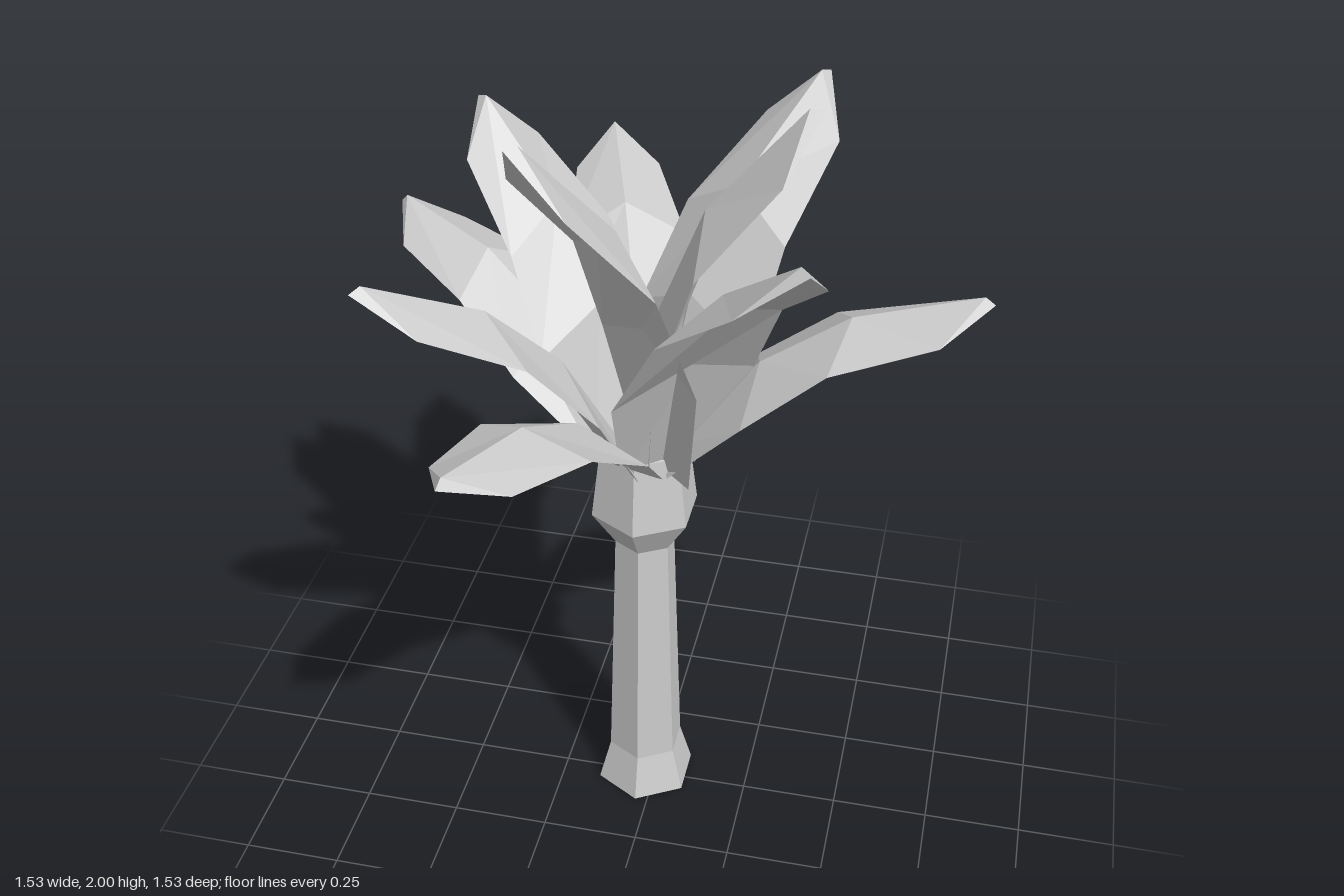
import * as THREE from 'three';

const CX = -0.032, CZ = -0.022; // trunk axis
const material = new THREE.MeshStandardMaterial({
  color: 0xcccccc, flatShading: true, side: THREE.DoubleSide,
});

// Leaf cross-sections along +x:
// [ridge x, ridge height, thickness, half width, edge x, edge height]
const LEAF_LENGTH = 0.92;
const SECTIONS = [
  [0.0, 0.035, 0.04, 0.098, 0.0, 0.0],
  [0.35, 0.128, 0.04, 0.179, 0.28, 0.07],
  [0.61, 0.122, 0.04, 0.154, 0.53, 0.083],
  [0.905, 0.015, 0.03, 0.111, 0.78, 0.0],
];

// Folded leaf: every ring is top ridge, right edge, under ridge, left edge
function leafGeometry() {
  const positions = [], index = [];
  for (const [x, y, thick, half, edgeX, edgeY] of SECTIONS) {
    positions.push(x, y, 0, edgeX, edgeY, half, x + thick * 0.3, y - thick, 0, edgeX, edgeY, -half);
  }
  for (let row = 0; row < SECTIONS.length - 1; row++) {
    for (let i = 0; i < 4; i++) {
      const a = row * 4 + i, b = row * 4 + (i + 1) % 4;
      index.push(a, b, b + 4, a, b + 4, a + 4);
    }
  }
  const e = (SECTIONS.length - 1) * 4;
  index.push(e, e + 1, e + 2, e, e + 2, e + 3); // tip
  index.push(0, 2, 1, 0, 3, 2); // base
  const geometry = new THREE.BufferGeometry();
  geometry.setAttribute('position', new THREE.Float32BufferAttribute(positions, 3));
  geometry.setIndex(index);
  geometry.computeVertexNormals();
  return geometry;
}

// Hexagonal trunk, open below, with a flared foot and a bulb under the crown
function makeTrunk() {
  const profile = [
    [0.133, 0], [0.1, 0.12], [0.078, 0.81],
    [0.138, 0.905], [0.113, 1.1], [0, 1.12],
  ].map(([r, y]) => new THREE.Vector2(r, y));
  const trunk = new THREE.Mesh(new THREE.LatheGeometry(profile, 6), material);
  trunk.name = 'trunk';
  trunk.position.set(CX, 0, CZ);
  return trunk;
}

// Leaf tip x, y, z, then the x, z of its foot where it is not on the rim
const LEAVES = [
  [0.76, 1.572, -0.06], [-0.28, 1.595, -0.762], [-0.28, 1.48, 0.762], [-0.765, 1.48, -0.44], // low
  [0.4, 1.87, 0.435], [-0.553, 1.715, 0.44], [-0.505, 1.828, -0.345], [0.308, 1.905, -0.495], // middle
  [0.35, 2.008, -0.03, 0.0, -0.035], [-0.24, 2.008, 0.298, 0.025, 0.025], // upright
];
const FOOT_RADIUS = 0.07, FOOT_HEIGHT = 1.06;

export function createModel() {
  const model = new THREE.Group();
  model.name = 'palmTree';
  model.add(makeTrunk());

  const crown = new THREE.Group();
  crown.name = 'crown';
  const geometry = leafGeometry();
  for (const [x, y, z, footX, footZ] of LEAVES) {
    const outward = Math.atan2(z - CZ, x - CX);
    const bx = footX ?? CX + FOOT_RADIUS * Math.cos(outward);
    const bz = footZ ?? CZ + FOOT_RADIUS * Math.sin(outward);
    const reach = Math.hypot(x - bx, z - bz), rise = y - FOOT_HEIGHT;
    const leaf = new THREE.Mesh(geometry, material);
    leaf.name = 'leaf';
    leaf.position.set(bx, FOOT_HEIGHT, bz);
    leaf.rotation.set(0, -Math.atan2(z - bz, x - bx), Math.atan2(rise, reach));
    leaf.scale.setScalar(Math.hypot(reach, rise) / LEAF_LENGTH);
    crown.add(leaf);
  }
  model.add(crown);
  return model;
}
